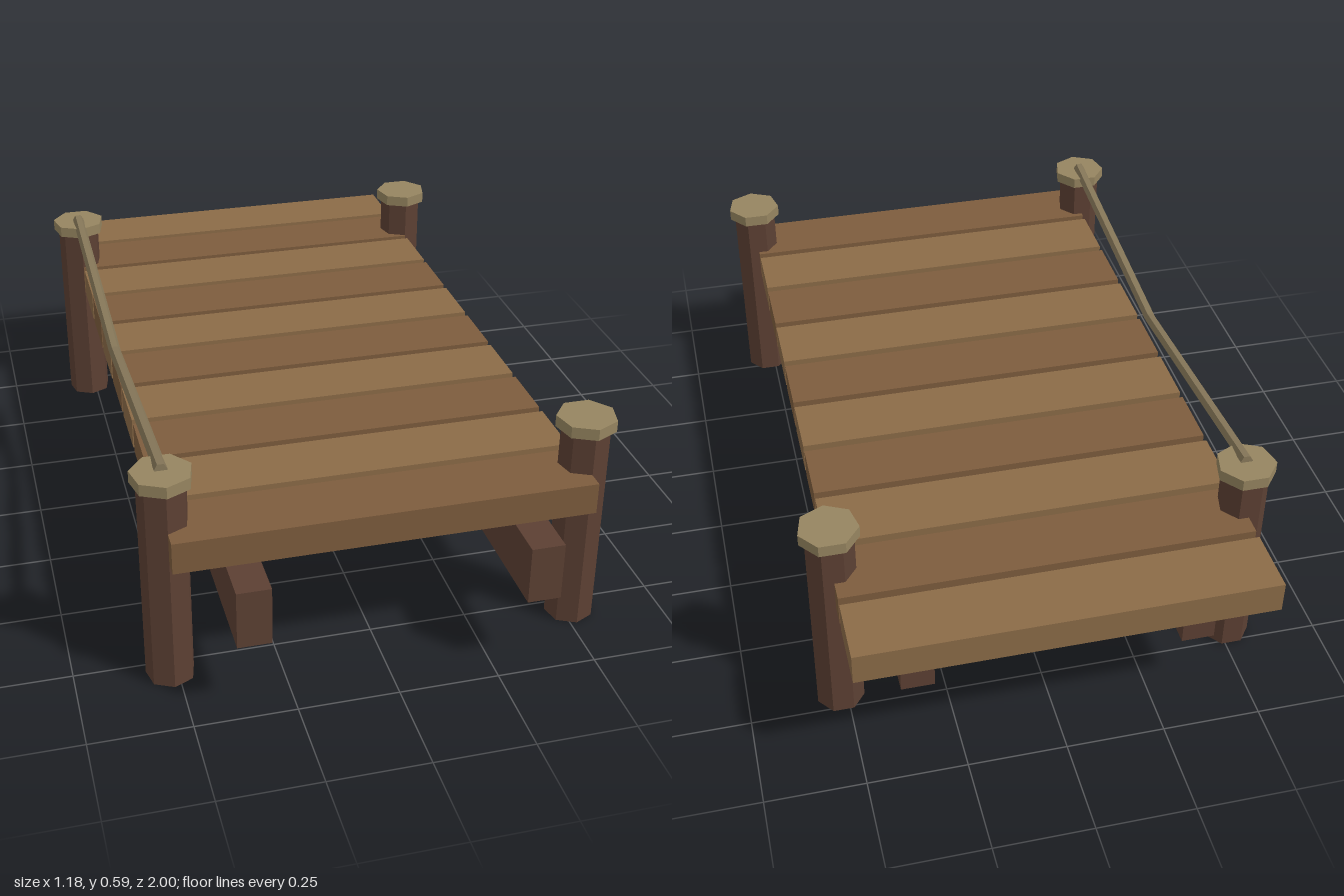
import * as THREE from 'three';

const mat = (color) => new THREE.MeshStandardMaterial({ color, flatShading: true });

export function createModel() {
  const model = new THREE.Group();
  const darkWood = mat(0x5c4033);
  const plankWood = [mat(0x8b6b47), mat(0x7d5c3d)];
  const capWood = mat(0x968560);
  const ropeFibre = mat(0x857658);

  const add = (name, geometry, material, x, y, z) => {
    const mesh = new THREE.Mesh(geometry, material);
    mesh.name = name;
    mesh.position.set(x, y, z);
    model.add(mesh);
    return mesh;
  };

  // Deck planks in alternating tones
  const plank = new THREE.BoxGeometry(1.034, 0.082, 0.17);
  for (let i = 0; i < 10; i++) {
    add('plank', plank, plankWood[i % 2], 0, 0.4, -0.915 + i * 0.1913);
  }

  // Two long beams under the deck
  const beam = new THREE.BoxGeometry(0.083, 0.151, 1.91);
  for (const side of [-1, 1]) add('beam', beam, darkWood, side * 0.352, 0.2835, 0.045);

  // Seven-sided posts with wider caps
  const post = new THREE.CylinderGeometry(0.061, 0.061, 0.545, 7);
  const cap = new THREE.CylinderGeometry(0.075, 0.075, 0.03, 7);
  for (const x of [-0.517, 0.517]) {
    for (const z of [-0.703, 0.79]) {
      add('post', post, darkWood, x, 0.2725, z);
      add('postCap', cap, capWood, x, 0.56, z);
    }
  }

  // Sagging rope between the right-hand posts, in two straight lengths
  const middle = new THREE.Vector3(-0.517, 0.5, 0.0435);
  for (const z of [-0.703, 0.79]) {
    const end = new THREE.Vector3(-0.517, 0.577, z);
    const geometry = new THREE.CylinderGeometry(0.016, 0.016, end.distanceTo(middle), 6);
    geometry.rotateY(Math.PI / 6);
    const centre = end.clone().add(middle).multiplyScalar(0.5);
    const rope = add('rope', geometry, ropeFibre, centre.x, centre.y, centre.z);
    rope.quaternion.setFromUnitVectors(
      new THREE.Vector3(0, 1, 0), end.clone().sub(middle).normalize());
  }
  return model;
}
